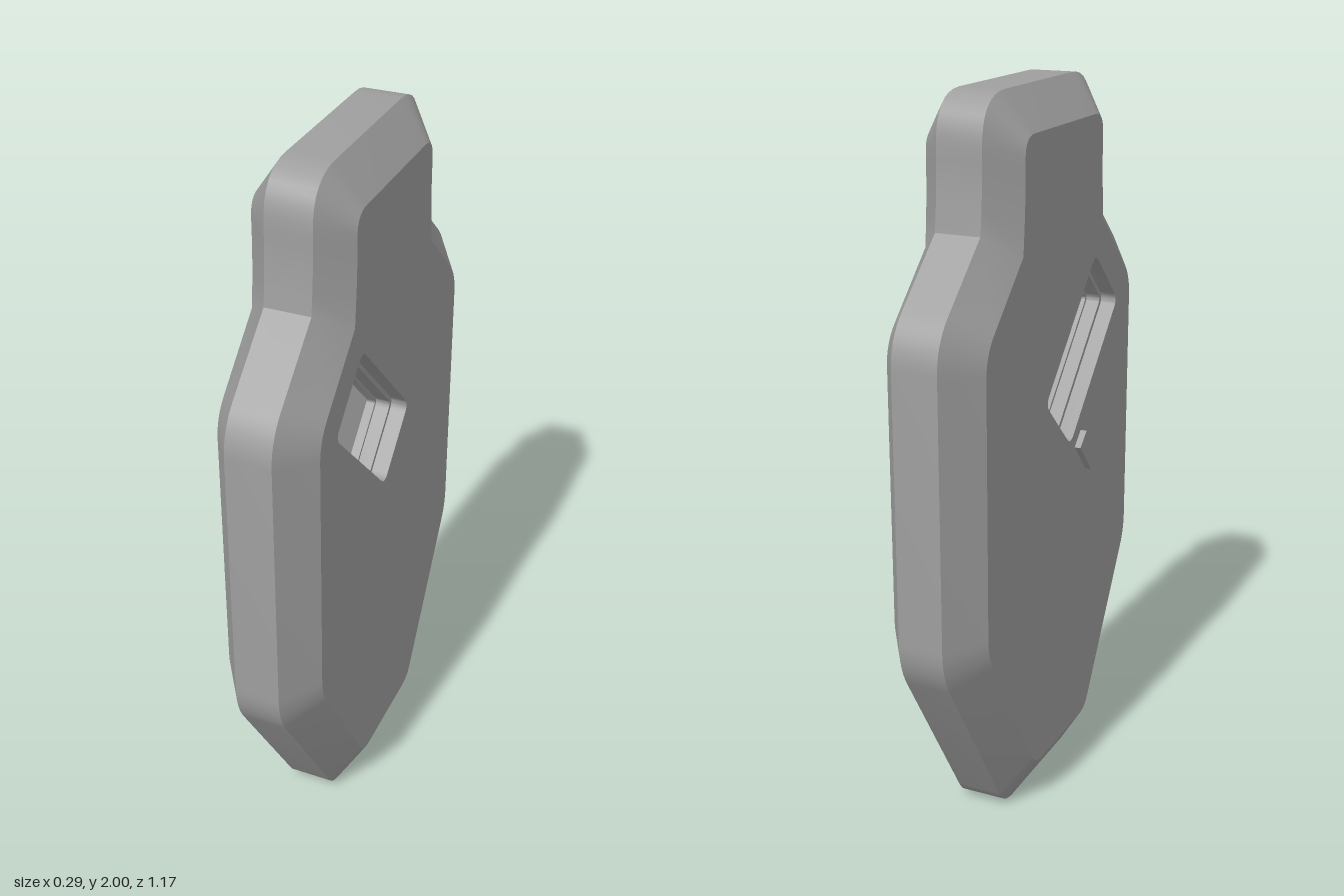
import * as THREE from 'three';
import { toCreasedNormals } from 'three/addons/utils/BufferGeometryUtils.js';

const darkGrey = new THREE.MeshStandardMaterial({ color: 0x9f9f9f });
const grey = new THREE.MeshStandardMaterial({ color: 0xcccccc });

// Plate is drawn in u (across), v (up) and stacked in w (thickness).
const FRONT = 0.145, BACK = -0.13, RIM_FRONT = 0.07, RIM_BACK = -0.055;

// Closed loop from corners [u, v, cut]; each corner is rounded by a short curve.
function roundedLoop(corners, steps = 8) {
  const n = corners.length, loop = [];
  corners.forEach(([u, v, cut], i) => {
    const p = new THREE.Vector2(u, v);
    if (!cut) { loop.push(p); return; }
    const toward = (c) => p.clone().add(new THREE.Vector2(c[0] - u, c[1] - v).setLength(cut));
    const curve = new THREE.QuadraticBezierCurve(
      toward(corners[(i + n - 1) % n]), p, toward(corners[(i + 1) % n]));
    loop.push(...curve.getPoints(steps));
  });
  return loop;
}

// Right half listed bottom to top, mirrored to a counter-clockwise outline.
function outline(half) {
  const left = half.map(([u, v, c]) => [-u, v, c]).reverse();
  return roundedLoop([...half, ...left]);
}

// Tilted rounded rectangle around the window centre.
function windowLoop(inset, cut) {
  const a = 0.475 / 2 - inset, b = 0.233 / 2 - inset;
  const centre = new THREE.Vector2(-0.13, 1.26), origin = new THREE.Vector2();
  return roundedLoop([[a, -b, cut], [a, b, cut], [-a, b, cut], [-a, -b, cut]], 6)
    .map((p) => p.rotateAround(origin, -0.8).add(centre));
}

// Skin between consecutive [loop, w] sections; inward turns the faces round.
function skin(sections, inward = false) {
  const pos = [];
  for (let s = 0; s + 1 < sections.length; s++) {
    const [A, wa] = sections[s], [B, wb] = sections[s + 1];
    for (let i = 0; i < A.length; i++) {
      const j = (i + 1) % A.length;
      const [p, q] = inward ? [j, i] : [i, j];
      const a = [A[p].x, A[p].y, wa], b = [A[q].x, A[q].y, wa];
      const c = [B[q].x, B[q].y, wb], d = [B[p].x, B[p].y, wb];
      pos.push(...a, ...b, ...c, ...a, ...c, ...d);
    }
  }
  const geo = new THREE.BufferGeometry();
  geo.setAttribute('position', new THREE.Float32BufferAttribute(pos, 3));
  return toCreasedNormals(geo, 0.5);
}

// Flat face with an optional opening, facing +w or -w.
function flat(loop, hole, w, facing) {
  const flip = (pts) => pts.map((p) => new THREE.Vector2(p.x * facing, p.y));
  const shape = new THREE.Shape(flip(loop));
  if (hole) shape.holes.push(new THREE.Path(flip(hole)));
  const geo = new THREE.ShapeGeometry(shape);
  if (facing < 0) geo.rotateY(Math.PI);
  return geo.translate(0, 0, w);
}

export function createModel() {
  const model = new THREE.Group();
  model.name = 'plate';
  const plate = new THREE.Group();
  plate.name = 'plateParts';
  plate.rotation.y = Math.PI / 2; // u -> -z, w -> +x
  model.add(plate);
  const add = (name, geo, mat = darkGrey) => {
    const mesh = new THREE.Mesh(geo, mat);
    mesh.name = name;
    plate.add(mesh);
    return mesh;
  };

  // Outer rim and bevelled sides
  const rim = outline([
    [0.232, 0, 0.06], [0.587, 0.57, 0.07], [0.587, 1.447, 0.08],
    [0.35, 1.66, 0], [0.337, 1.78, 0.06], [0.337, 2, 0.13],
  ]);
  const face = outline([
    [0.178, 0.12, 0.04], [0.475, 0.595, 0.05], [0.475, 1.4, 0.06],
    [0.262, 1.6, 0], [0.25, 1.74, 0.06], [0.25, 1.895, 0.055],
  ]);
  add('bevelledSides', skin([[face, BACK], [rim, RIM_BACK], [rim, RIM_FRONT], [face, FRONT]]));

  // Broad faces with the window opening
  const opening = windowLoop(0, 0.03);
  const ledge = windowLoop(0.012, 0.02);
  const paneEdge = windowLoop(0.02, 0.012);
  add('outerFace', flat(face, opening, FRONT, 1));
  add('innerFace', flat(face, opening, BACK, -1));

  // Stepped window walls on both sides of the pane
  const paneFront = 0.035, paneBack = -0.02;
  add('windowFrameOuter', skin([
    [paneEdge, paneFront], [paneEdge, 0.06], [ledge, 0.06],
    [ledge, 0.1], [opening, 0.1], [opening, FRONT]], true));
  add('windowFrameInner', skin([
    [opening, BACK], [opening, -0.085], [ledge, -0.085],
    [ledge, -0.045], [paneEdge, -0.045], [paneEdge, paneBack]], true));

  // Window pane
  add('paneOuter', flat(paneEdge, null, paneFront, 1), grey);
  add('paneInner', flat(paneEdge, null, paneBack, -1), grey);

  // Small button below the window
  const button = add('button', new THREE.BoxGeometry(0.0575, 0.12, 0.03));
  button.position.set(-0.1395, 0.965, -0.133);
  button.rotation.z = -0.73;

  return model;
}
